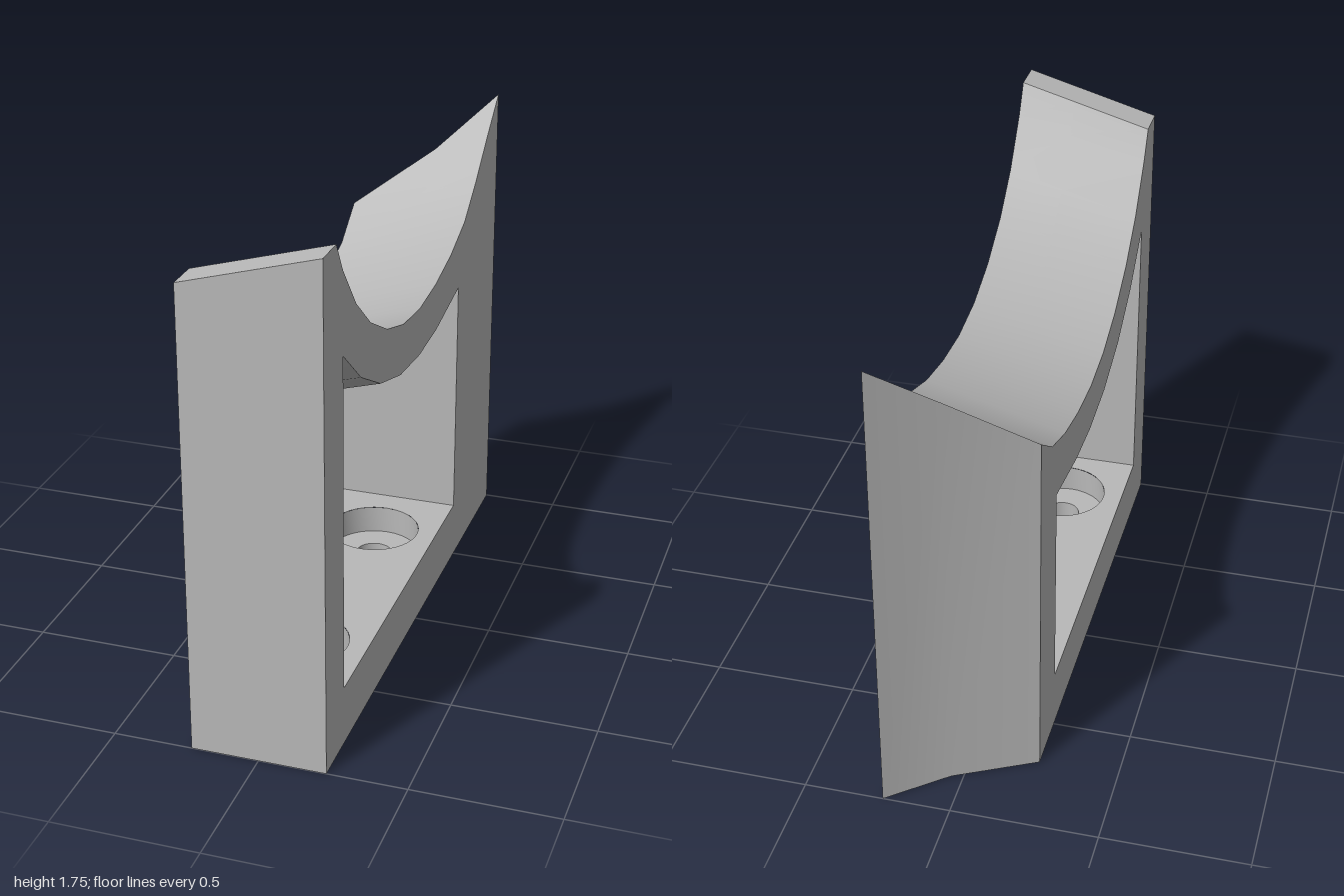
import * as THREE from 'three';
import { toCreasedNormals } from 'three/addons/utils/BufferGeometryUtils.js';

const W = 0.23;            // half width
const FLOOR = 0.21;        // top of the base
const TILT = 0.13 / 0.46;  // the saddle slopes down towards -x
const HOLES = [0.58, -0.23];
const BORE = 0.162, BOLT = 0.065, LEDGE = 0.11;

// The back wall steps inward in two facets towards -x
const backZ = (x) => x < 0.04
  ? -0.70 - (x + W) * 0.14 / 0.27
  : -0.84 - (x - 0.04) * 0.16 / 0.19;

// Profiles as [z, y] on the +x side
const SADDLE = [
  [1, 1.75], [0.88, 1.75], [0.82, 1.648], [0.694, 1.493], [0.549, 1.373],
  [0.372, 1.279], [0.19, 1.223], [0, 1.204], [-0.19, 1.218], [-0.378, 1.255],
  [-0.555, 1.316], [-0.70, 1.418], [-0.84, 1.535], [-1, 1.659],
];
const ARCH = [
  [-0.49, 1.089], [-0.205, 1.043], [0, 1.033], [0.222, 1.054],
  [0.44, 1.118], [0.645, 1.228], [0.82, 1.373],
];

// Height of the saddle profile at any z
function saddleY(z) {
  for (let i = 1; i < SADDLE.length; i++) {
    const [z0, y0] = SADDLE[i - 1], [z1, y1] = SADDLE[i];
    if (z >= z1) return y0 + (y1 - y0) * (z0 - z) / (z0 - z1);
  }
  return SADDLE[SADDLE.length - 1][1];
}

// Closed loops in the z-y plane for a slice at x
function outerLoop(x) {
  const drop = (x - W) * TILT, back = backZ(x);
  const top = SADDLE.map(([z, y]) => z < back ? [back, saddleY(back) + drop] : [z, y + drop]);
  return [[1, 0], ...top, [back, 0]];
}
function windowLoop(x) {
  const drop = (x - W) * TILT;
  return [[-0.49, FLOOR], ...ARCH.map(([z, y]) => [z, y + drop]), [0.82, FLOOR]];
}

// Skin running across the width between slices
function skin(loop, xs) {
  const slices = xs.map((x) => loop(x).map(([z, y]) => [x, y, z]));
  const pos = [];
  for (let j = 0; j < xs.length - 1; j++) {
    for (let i = 0; i < slices[j].length - 1; i++) {
      const a = slices[j][i], b = slices[j + 1][i];
      const c = slices[j + 1][i + 1], d = slices[j][i + 1];
      pos.push(...a, ...b, ...c, ...a, ...c, ...d);
    }
  }
  const geo = new THREE.BufferGeometry();
  geo.setAttribute('position', new THREE.Float32BufferAttribute(pos, 3));
  geo.computeVertexNormals();
  return toCreasedNormals(geo, 0.5);
}

// Flat cheek with the window cut out; side is +1 or -1
function cheek(side) {
  const flat = (loop) => loop(side * W)
    .map(([z, y]) => new THREE.Vector2(-side * z, y))
    .filter((p, i, all) => i === 0 || p.distanceTo(all[i - 1]) > 1e-6);
  const shape = new THREE.Shape(flat(outerLoop));
  shape.holes.push(new THREE.Path(flat(windowLoop)));
  return new THREE.ShapeGeometry(shape).rotateY(side * Math.PI / 2).translate(side * W, 0, 0);
}

// Horizontal plate with round holes; up is +1 or -1
function plate(outline, radius, up, y) {
  const shape = new THREE.Shape(outline.map(([x, z]) => new THREE.Vector2(x, -up * z)));
  for (const z of HOLES) {
    shape.holes.push(new THREE.Path().absarc(0, -up * z, radius, 0, Math.PI * 2, true));
  }
  return new THREE.ShapeGeometry(shape, 32).rotateX(-up * Math.PI / 2).translate(0, y, 0);
}

export function createModel() {
  const group = new THREE.Group();
  group.name = 'saddleBracket';
  const grey = new THREE.MeshStandardMaterial({ color: 0xb8b8b8 });
  grey.name = 'grey';
  const add = (name, geo) => {
    const mesh = new THREE.Mesh(geo, grey);
    mesh.name = name;
    group.add(mesh);
    return mesh;
  };

  // Front wall, tilted saddle and faceted back
  add('outerSkin', skin(outerLoop, [-W, 0.04, W]));
  // Window walls and the underside of the arch
  add('windowSkin', skin(windowLoop, [-W, W]));
  add('leftCheek', cheek(1));
  add('rightCheek', cheek(-1));

  // Base faces pierced by the bolt holes
  add('windowFloor', plate([[-W, 0.82], [W, 0.82], [W, -0.49], [-W, -0.49]], BORE, 1, FLOOR));
  add('underside', plate(
    [[-W, 1], [W, 1], [W, backZ(W)], [0.04, backZ(0.04)], [-W, backZ(-W)]], BOLT, -1, 0));

  // Counterbored bolt holes
  const profile = [[BORE, FLOOR], [BORE, LEDGE], [BOLT, LEDGE], [BOLT, 0]]
    .map(([r, y]) => new THREE.Vector2(r, y));
  const bore = toCreasedNormals(new THREE.LatheGeometry(profile, 32), 0.5);
  for (const z of HOLES) add('boltHole', bore).position.z = z;

  return group;
}
